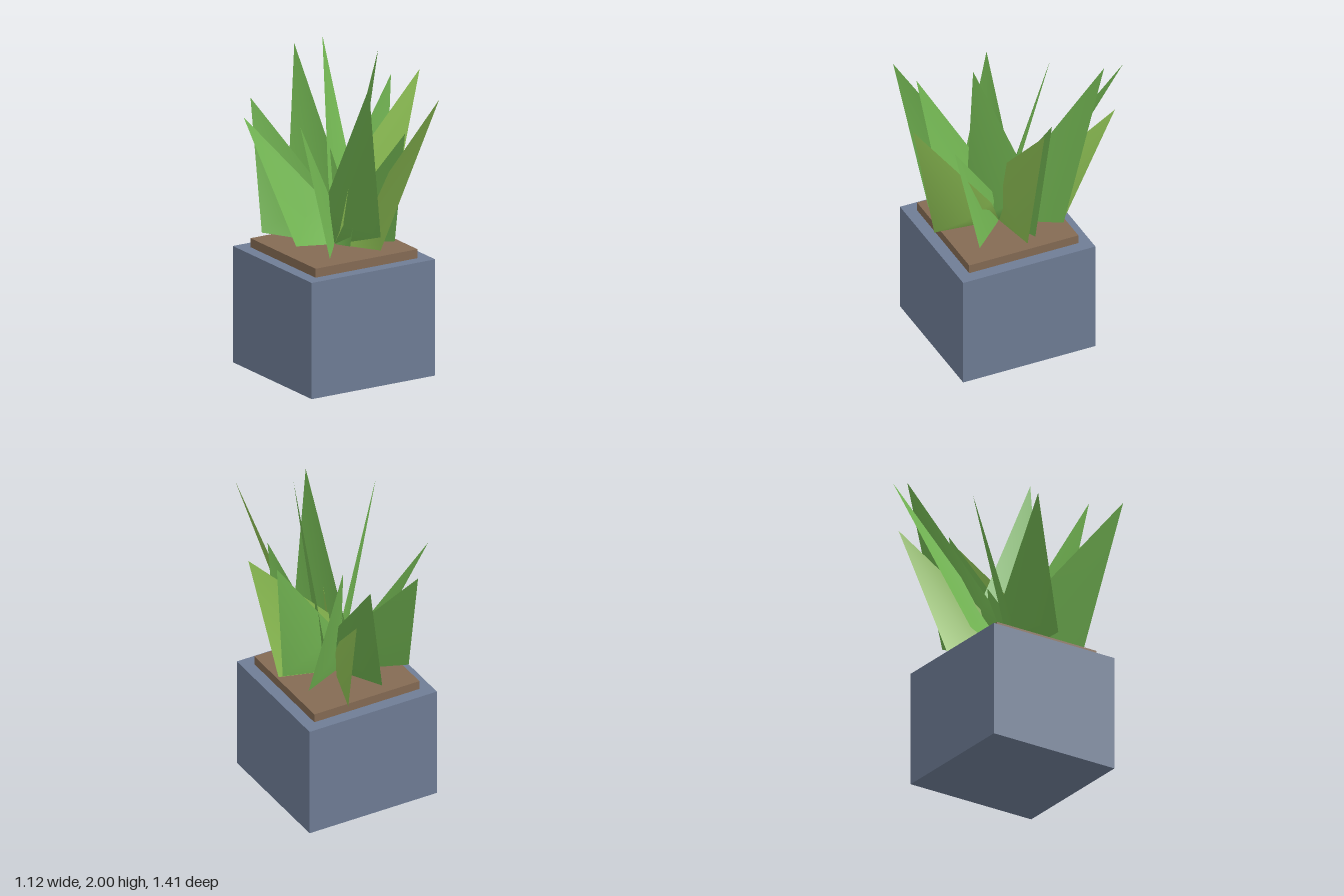
import * as THREE from 'three';

const GREEN = 0x72b552, LIME = 0x8fc255;
const BASE = [-0.04, 0.765, 0.01]; // shared root of all leaves
const BULGE = 0.03;

// Each leaf: tip, low outer corner, high inner corner, colour
const LEAVES = [
  [[0.11, 2.0, 0.25], [-0.065, 0.81, 0.22], [0.12, 1.03, -0.15], GREEN],
  [[-0.12, 1.87, 0.51], [0.045, 0.89, 0.38], [-0.115, 1.0, 0.0], GREEN],
  [[0.23, 1.86, -0.545], [0.295, 0.88, -0.25], [0.0, 1.12, -0.12], GREEN],
  [[0.14, 1.78, -0.71], [-0.145, 0.83, -0.35], [0.08, 1.1, -0.1], GREEN],
  [[0.245, 1.79, 0.705], [0.0, 0.835, 0.45], [0.11, 1.02, 0.13], LIME],
  [[0.56, 1.74, 0.0], [0.35, 0.845, 0.01], [0.0, 1.17, 0.03], LIME],
  [[0.43, 1.7, -0.11], [0.35, 0.88, -0.04], [0.0, 1.1, -0.03], GREEN],
  [[-0.56, 1.69, 0.45], [-0.29, 0.805, 0.35], [-0.1, 1.08, 0.05], GREEN],
  [[-0.565, 1.59, -0.16], [-0.375, 0.835, 0.115], [-0.08, 1.05, -0.1], GREEN],
  [[-0.325, 1.59, -0.46], [-0.39, 0.83, -0.235], [-0.06, 1.08, -0.08], GREEN],
  [[0.195, 1.51, 0.41], [0.22, 0.805, 0.26], [0.03, 1.0, 0.06], GREEN],
  [[0.19, 1.51, -0.635], [0.09, 0.765, -0.36], [0.03, 1.03, -0.1], LIME],
  [[-0.08, 1.22, 0.24], [-0.125, 0.91, 0.2], [-0.04, 0.95, 0.05], LIME],
];

// Four-cornered blade, cupped by a centre point pushed to its underside
function leafGeometry(tip, outer, inner) {
  const [b, t, o, i] = [BASE, tip, outer, inner].map((p) => new THREE.Vector3(...p));
  const normal = t.clone().sub(b).cross(i.clone().sub(o)).normalize();
  if (normal.y > 0) normal.negate();
  const centre = o.clone().add(i).multiplyScalar(0.5).addScaledVector(normal, BULGE);
  const geometry = new THREE.BufferGeometry().setFromPoints([b, o, t, i, centre]);
  // Wind the fan so that its front is the underside
  const fan = [];
  const facing = o.clone().sub(b).cross(t.clone().sub(b)).dot(normal) > 0;
  for (let k = 0; k < 4; k++) {
    const n = (k + 1) % 4;
    fan.push(...(facing ? [k, n, 4] : [n, k, 4]));
  }
  geometry.setIndex(fan);
  geometry.computeVertexNormals();
  return geometry;
}

function block(name, size, position, color) {
  const mesh = new THREE.Mesh(
    new THREE.BoxGeometry(...size),
    new THREE.MeshStandardMaterial({ color })
  );
  mesh.name = name;
  mesh.position.set(...position);
  return mesh;
}

export function createModel() {
  const model = new THREE.Group();
  model.name = 'pottedPlant';

  // Square pot with a slab of soil standing just above its rim
  model.add(block('pot', [0.86, 0.715, 0.86], [-0.047, 0.3575, 0.015], 0x6f7d96));
  model.add(block('soil', [0.71, 0.055, 0.71], [-0.047, 0.7425, 0.015], 0x856b54));

  // Leaves fanning out from the middle of the soil
  const leaves = new THREE.Group();
  leaves.name = 'leaves';
  for (const [tip, outer, inner, color] of LEAVES) {
    const leaf = new THREE.Mesh(
      leafGeometry(tip, outer, inner),
      new THREE.MeshStandardMaterial({ color, side: THREE.DoubleSide })
    );
    leaf.name = 'leaf';
    leaves.add(leaf);
  }
  model.add(leaves);
  return model;
}
